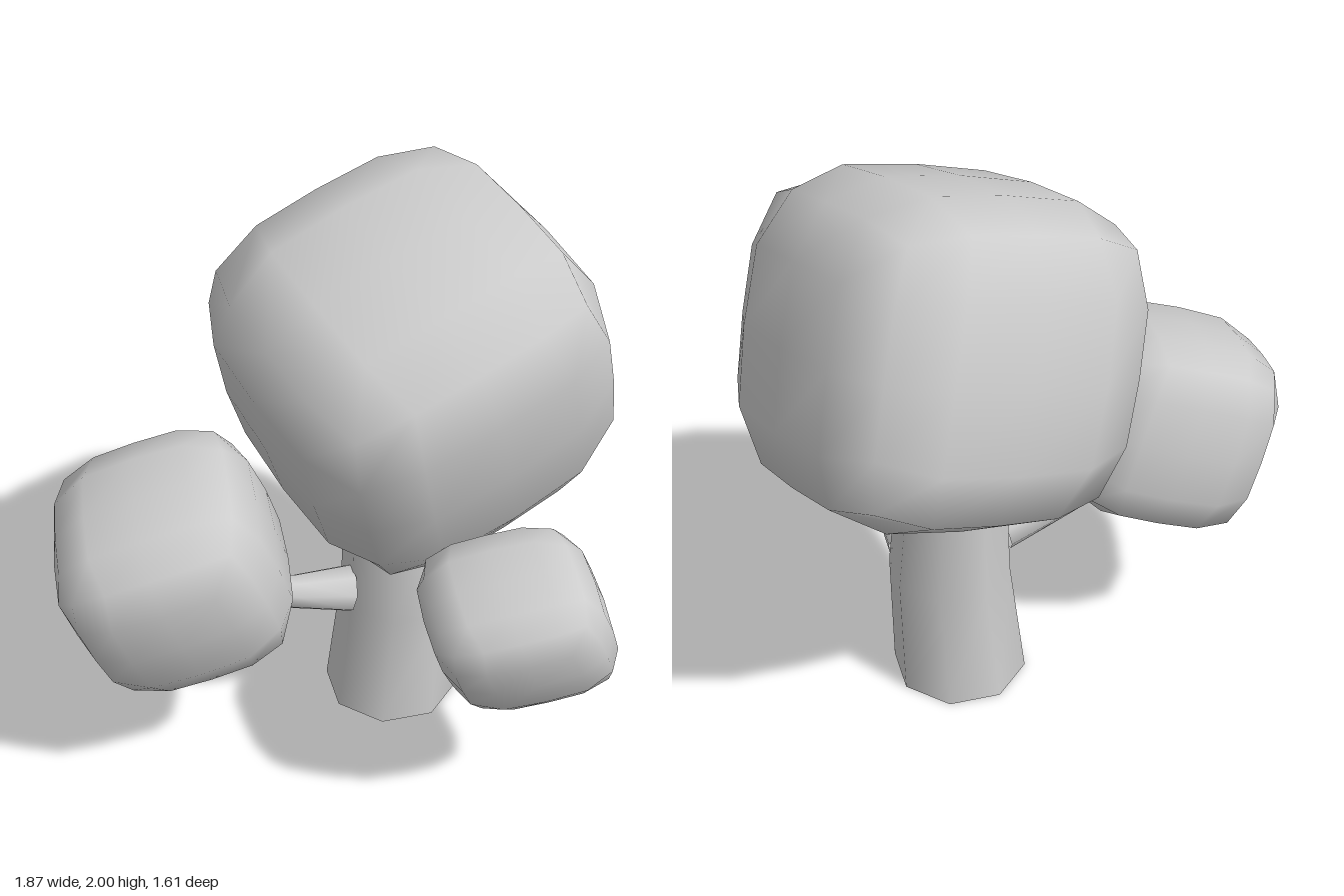
import * as THREE from 'three';
import { mergeVertices } from 'three/addons/utils/BufferGeometryUtils.js';

const V = (x, y, z) => new THREE.Vector3(x, y, z);
const material = new THREE.MeshStandardMaterial({ color: 0xcccccc });
const openMaterial = new THREE.MeshStandardMaterial({ color: 0xcccccc, side: THREE.DoubleSide });

// Share vertices so the normals are smooth all round
function smooth(geometry) {
  geometry.deleteAttribute('uv');
  geometry.deleteAttribute('normal');
  const merged = mergeVertices(geometry, 1e-4);
  merged.computeVertexNormals();
  return merged;
}

// Puffy low-poly cube, tilted (degrees) and fitted between two corners
function crown(name, min, max, tilt) {
  const power = 3.6;
  const geometry = new THREE.BoxGeometry(2, 2, 2, 4, 4, 4);
  const pos = geometry.attributes.position;
  const p = V(0, 0, 0);
  for (let i = 0; i < pos.count; i++) {
    p.fromBufferAttribute(pos, i);
    const sum = Math.abs(p.x) ** power + Math.abs(p.y) ** power + Math.abs(p.z) ** power;
    p.multiplyScalar(sum ** (-1 / power));
    pos.setXYZ(i, p.x, p.y, p.z);
  }
  const [rx, ry, rz] = tilt.map(THREE.MathUtils.degToRad);
  geometry.applyMatrix4(new THREE.Matrix4().makeRotationFromEuler(new THREE.Euler(rx, ry, rz, 'XZY')));
  geometry.center();
  geometry.computeBoundingBox();
  const size = geometry.boundingBox.getSize(V(0, 0, 0));
  const fit = max.clone().sub(min).divide(size);
  geometry.scale(fit.x, fit.y, fit.z);
  const mesh = new THREE.Mesh(smooth(geometry), material);
  mesh.name = name;
  mesh.position.copy(min).add(max).multiplyScalar(0.5);
  return mesh;
}

// Eight-sided open limb through points, with a radius at each; level keeps rings horizontal
function limb(name, points, radii, level = false) {
  const up = V(0, 1, 0);
  const last = points.length - 1;
  const geometry = new THREE.CylinderGeometry(1, 1, 1, 8, last, true);
  const pos = geometry.attributes.position;
  const p = V(0, 0, 0);
  for (let i = 0; i < pos.count; i++) {
    p.fromBufferAttribute(pos, i);
    const k = Math.round((p.y + 0.5) * last);
    p.setY(0).multiplyScalar(radii[k]);
    if (!level) {
      const along = points[Math.min(k + 1, last)].clone().sub(points[Math.max(k - 1, 0)]).normalize();
      p.applyQuaternion(new THREE.Quaternion().setFromUnitVectors(up, along));
    }
    p.add(points[k]);
    pos.setXYZ(i, p.x, p.y, p.z);
  }
  const mesh = new THREE.Mesh(smooth(geometry), openMaterial);
  mesh.name = name;
  return mesh;
}

export function createModel() {
  const tree = new THREE.Group();
  tree.name = 'tree';
  tree.add(
    // Trunk and branches
    limb('trunk', [V(0.15, 0, -0.075), V(0.18, 0.45, -0.075), V(0.165, 0.85, -0.08), V(0.165, 1.1, -0.08)],
      [0.24, 0.215, 0.187, 0.17], true),
    limb('rightBranch', [V(0.01, 0.525, 0.06), V(-0.17, 0.57, 0.16), V(-0.38, 0.65, 0.27)], [0.085, 0.06, 0.045]),
    limb('leftBranch', [V(0.34, 0.45, 0.02), V(0.45, 0.49, 0.2), V(0.57, 0.64, 0.37)], [0.08, 0.05, 0.035]),
    // Foliage
    crown('mainCrown', V(-0.47, 0.76, -0.81), V(0.87, 2, 0.61), [22, 40, 5]),
    crown('rightCrown', V(-0.93, 0.45, -0.04), V(-0.12, 1.23, 0.8), [16, 18, 14]),
    crown('leftCrown', V(0.29, 0.55, 0.19), V(0.94, 1.09, 0.78), [20, 18, 12]),
  );
  return tree;
}
